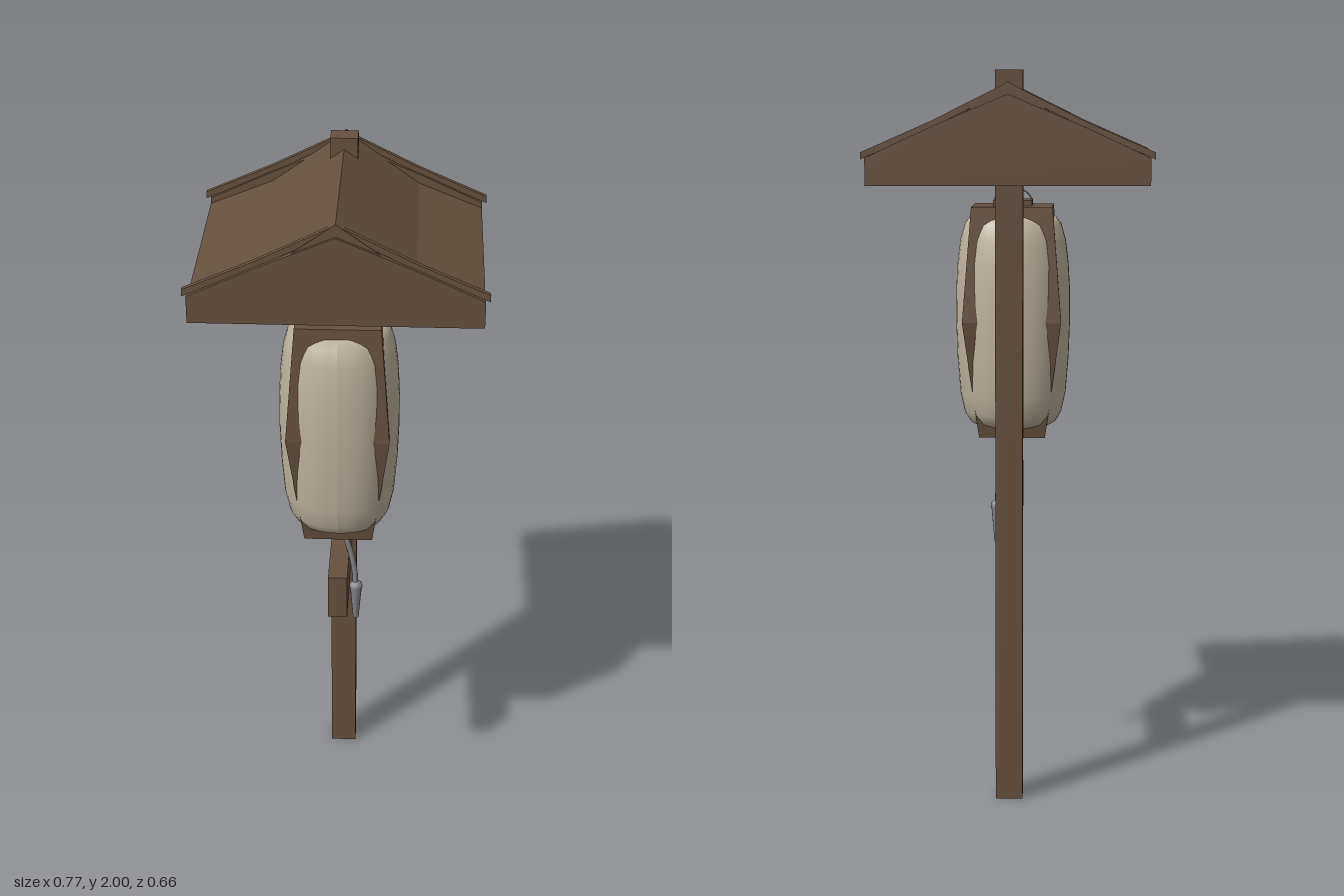
import * as THREE from 'three';

export function createModel() {
  const root = new THREE.Group();
  root.name = 'lanternPost';

  const material = (name, color) => {
    const m = new THREE.MeshStandardMaterial({ color });
    m.name = name;
    return m;
  };
  const wood = material('brown wood', 0x66513f);
  const paper = material('lantern paper', 0xbdb29e);
  const metal = material('grey cord', 0x85868a);

  const add = (name, geometry, mat, parent = root) => {
    const mesh = new THREE.Mesh(geometry, mat);
    mesh.name = name;
    parent.add(mesh);
    return mesh;
  };
  const box = (name, w, h, d, x, y, z, parent = root) =>
    add(name, new THREE.BoxGeometry(w, h, d), wood, parent).position.set(x, y, z);

  // Extrude an outline, centred on the given z
  const slab = (name, outline, depth, z, parent) => {
    const shape = new THREE.Shape(outline.map(([x, y]) => new THREE.Vector2(x, y)));
    const g = new THREE.ExtrudeGeometry(shape, { depth, bevelEnabled: false });
    g.translate(0, 0, z - depth / 2);
    add(name, g, wood, parent);
  };
  // Complete a right-hand half outline with its mirror image
  const mirrored = (half) =>
    [...half, ...half.filter(([x]) => x > 0).map(([x, y]) => [-x, y]).reverse()];

  // Post and lower arm
  box('post', 0.074, 2, 0.058, 0, 1, -0.201);
  box('arm', 0.053, 0.13, 0.4, 0, 0.812, 0.03);

  // Roof: kinked covering with closed underside, gable panels and bargeboards
  const roof = new THREE.Group();
  roof.name = 'roof';
  root.add(roof);
  slab('roofCore', mirrored([[0.362, 1.7], [0.362, 1.736], [0.373, 1.736], [0.373, 1.756],
    [0.2, 1.826], [0, 1.969]]), 0.646, 0, roof);
  const boardTop = [[0.385, 1.786], [0.2, 1.867], [0, 1.966], [-0.2, 1.867], [-0.385, 1.786]];
  const board = [...boardTop, ...boardTop.map(([x, y]) => [x, y - 0.018]).reverse()];
  for (const s of [-1, 1]) {
    slab('gablePanel', mirrored([[0.373, 1.7], [0.373, 1.772], [0.2, 1.852], [0, 1.936]]),
      0.033, s * 0.3145, roof);
    slab('bargeboard', board, 0.015, s * 0.3135, roof);
  }

  // Lantern hanging in front of the post
  const lantern = new THREE.Group();
  lantern.name = 'lantern';
  lantern.position.z = 0.1;
  root.add(lantern);

  // Square frame that swells at the middle: a box bent by moving its rings
  const frame = new THREE.BoxGeometry(2, 2, 2, 1, 2, 1);
  const rings = { '-1': [0.98, 0.093], 0: [1.31, 0.138], 1: [1.63, 0.113] };
  const p = frame.attributes.position;
  for (let i = 0; i < p.count; i++) {
    const [y, half] = rings[Math.round(p.getY(i))];
    p.setXYZ(i, p.getX(i) * half, y, p.getZ(i) * half);
  }
  const flatFrame = frame.toNonIndexed();
  flatFrame.computeVertexNormals();
  add('lanternFrame', flatFrame, wood, lantern);

  // Paper shade bulging through the four sides, its round section slightly squared
  const profile = [[0, 1.003], [0.1, 1.006], [0.122, 1.018], [0.138, 1.045], [0.15, 1.1],
    [0.158, 1.2], [0.162, 1.31], [0.161, 1.4], [0.157, 1.47], [0.149, 1.535],
    [0.136, 1.58], [0.118, 1.602], [0, 1.606]];
  const shade = new THREE.LatheGeometry(profile.map(([x, y]) => new THREE.Vector2(x, y)), 40);
  const sp = shade.attributes.position;
  for (let i = 0; i < sp.count; i++) {
    const x = sp.getX(i), z = sp.getZ(i), r = Math.hypot(x, z);
    if (r < 1e-6) continue;
    const n = 2.25;
    const k = (Math.abs(x / r) ** n + Math.abs(z / r) ** n) ** (-1 / n);
    sp.setXYZ(i, x * k, sp.getY(i), z * k);
  }
  shade.computeVertexNormals();
  add('paperShade', shade, paper, lantern);

  // Top plate, wire handle and hook
  box('topPlate', 0.11, 0.016, 0.11, 0, 1.638, 0, lantern);
  const handle = add('handle', new THREE.TorusGeometry(0.052, 0.002, 6, 20, Math.PI), metal, lantern);
  handle.position.y = 1.642;
  handle.scale.y = 0.7;
  add('hookBall', new THREE.SphereGeometry(0.011, 12, 8), metal, lantern).position.y = 1.682;
  add('hookStem', new THREE.CylinderGeometry(0.004, 0.004, 0.03, 8), metal, lantern).position.y = 1.695;

  // Cord with tassel
  const cord = new THREE.CatmullRomCurve3([
    [0, 0.99], [0.014, 0.94], [0.033, 0.87], [0.043, 0.81], [0.045, 0.76],
  ].map(([x, y]) => new THREE.Vector3(x, y, 0)));
  add('cord', new THREE.TubeGeometry(cord, 16, 0.008, 8), metal, lantern);
  const tassel = [[0, 0.66], [0.008, 0.661], [0.016, 0.755], [0.019, 0.766], [0.017, 0.775],
    [0.009, 0.782], [0, 0.785]];
  add('tassel', new THREE.LatheGeometry(
    tassel.map(([x, y]) => new THREE.Vector2(x, y)), 12), metal, lantern).position.x = 0.046;

  return root;
}
